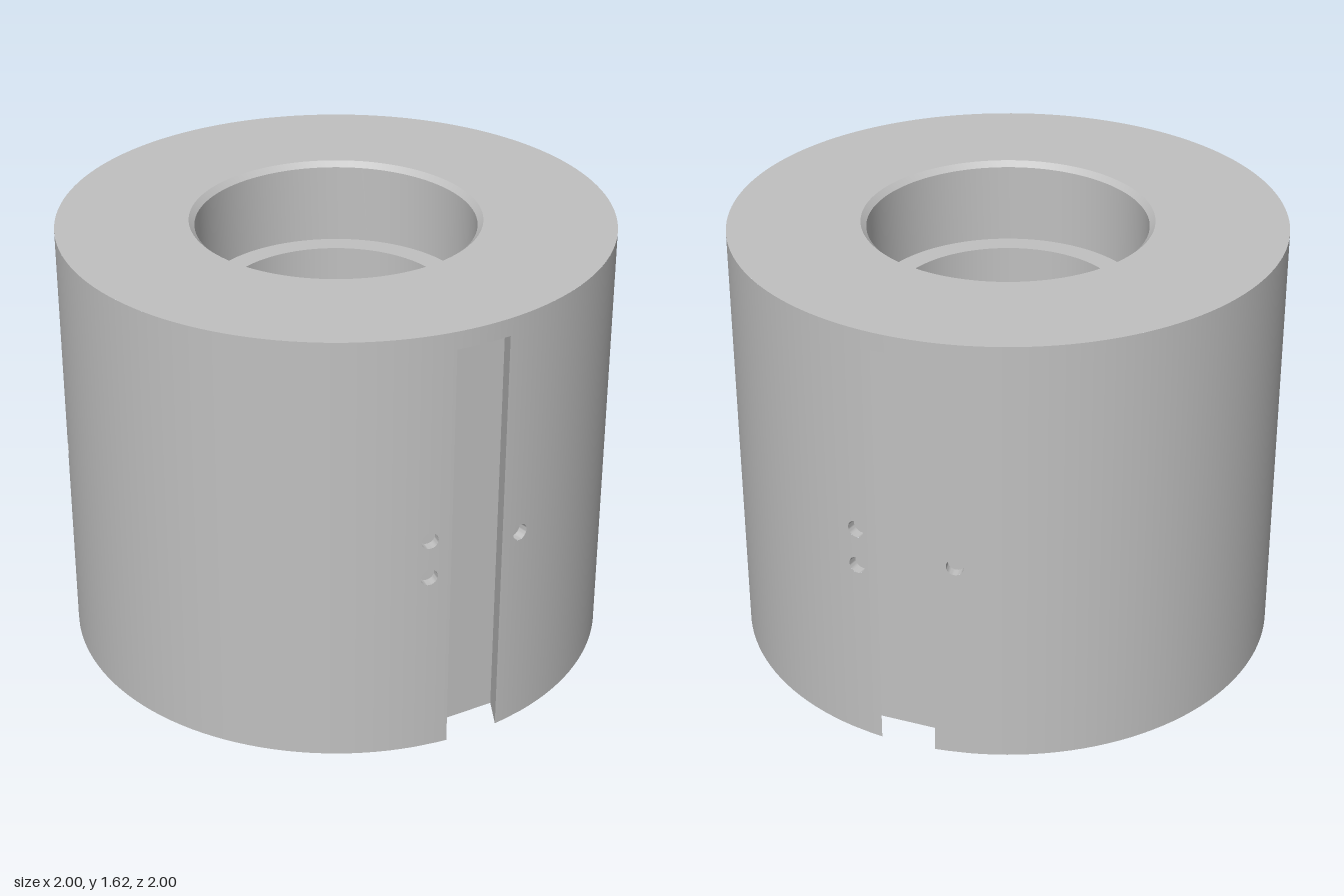
import * as THREE from 'three';
import { toCreasedNormals } from 'three/addons/utils/BufferGeometryUtils.js';

const H = 1.62, R = 1;                       // body height and outer radius
const BORE = 0.42, SLOT_TOP = 1.555;
const MOUTH = 0.102, FLOOR = 0.154, FLOOR_R = 0.882; // dovetail half widths, floor radius
const HOLE_R = 0.031, HOLE_DEPTH = 0.035;
const rad = THREE.MathUtils.degToRad;
const EDGE = Math.asin(MOUTH / R);           // half angle of the slot mouth
const SIDE = rad(10.45), PAD = rad(2.3);     // hole offset from slot centre, half patch

// Point in (x, z) at an angle measured from +z towards +x
const polar = (a, r = R) => new THREE.Vector2(r * Math.sin(a), r * Math.cos(a));

// Piece of the outer wall with round openings, wrapped on the cylinder
function wallPatch(a0, a1, y0, y1, holes = []) {
  const shape = new THREE.Shape([[a0, y0], [a1, y0], [a1, y1], [a0, y1]].map(p => new THREE.Vector2(...p)));
  for (const [a, y] of holes) {
    const path = new THREE.Path();
    path.absarc(a, y, HOLE_R, 0, Math.PI * 2, true);
    shape.holes.push(path);
  }
  const g = new THREE.ShapeGeometry(shape, 16);
  const p = g.attributes.position, n = g.attributes.normal;
  for (let i = 0; i < p.count; i++) {
    const a = p.getX(i);
    p.setXYZ(i, R * Math.sin(a), p.getY(i), R * Math.cos(a));
    n.setXYZ(i, Math.sin(a), 0, Math.cos(a));
  }
  return g;
}

const wallArc = (a0, a1, y0, y1, segs) =>
  new THREE.CylinderGeometry(R, R, y1 - y0, segs, 1, true, a0, a1 - a0).translate(0, (y0 + y1) / 2, 0);

// Two side walls and floor of a dovetail slot facing +z
function slotWalls() {
  const zm = R * Math.cos(EDGE);
  const pts = [[-MOUTH, zm], [-FLOOR, FLOOR_R], [FLOOR, FLOOR_R], [MOUTH, zm]];
  const v = [];
  for (let i = 0; i < 3; i++) {
    const [ax, az] = pts[i], [bx, bz] = pts[i + 1];
    v.push(ax, 0, az, bx, 0, bz, bx, SLOT_TOP, bz, ax, 0, az, bx, SLOT_TOP, bz, ax, SLOT_TOP, az);
  }
  const g = new THREE.BufferGeometry();
  g.setAttribute('position', new THREE.Float32BufferAttribute(v, 3));
  g.computeVertexNormals();
  return g;
}

// Slot outline corners in (x, z) for a slot turned to angle a
const slotFloor = a => [-FLOOR, FLOOR].map(t => new THREE.Vector2(
  FLOOR_R * Math.sin(a) + t * Math.cos(a), FLOOR_R * Math.cos(a) - t * Math.sin(a)));

const arcPoints = (a0, a1, n, r) =>
  Array.from({ length: n + 1 }, (_, i) => polar(a0 + (a1 - a0) * i / n, r));

// Downward facing flat face from an (x, z) outline
const faceDown = shape => new THREE.ShapeGeometry(shape).rotateX(Math.PI / 2);

export function createModel() {
  const model = new THREE.Group();
  model.name = 'slottedCollar';
  const steel = new THREE.MeshStandardMaterial({ color: 0xc0c0c0 });
  steel.name = 'steel grey';
  const add = (parent, name, geometry) => {
    const mesh = new THREE.Mesh(geometry, steel);
    mesh.name = name;
    parent.add(mesh);
    return mesh;
  };

  // Top face, chamfer, counterbore, shoulder and through bore
  const profile = [[R, H], [0.525, H], [0.505, H - 0.02], [0.505, 1.305], [BORE, 1.305], [BORE, 0]];
  const inner = new THREE.LatheGeometry(profile.map(p => new THREE.Vector2(...p)), 144);
  add(model, 'topAndBore', toCreasedNormals(inner, rad(30)));

  // Bottom face with three dovetail notches
  const outline = [];
  for (let i = 0; i < 3; i++) {
    const a = rad(60 + 120 * i);
    outline.push(polar(a - EDGE), ...slotFloor(a), ...arcPoints(a + EDGE, a + rad(120) - EDGE, 40).slice(0, -1));
  }
  const bottom = new THREE.Shape(outline);
  bottom.holes.push(new THREE.Path(arcPoints(0, Math.PI * 2, 144, BORE).slice(0, -1)));
  add(model, 'bottomFace', faceDown(bottom));

  // Each third: outer wall, slot, and pin holes beside it
  const holes = [[-SIDE, 0.702], [-SIDE, 0.847], [SIDE, 0.775]];
  for (let i = 0; i < 3; i++) {
    const third = new THREE.Group();
    third.name = 'slotSection' + (i + 1);
    third.rotation.y = rad(60 + 120 * i);
    model.add(third);

    add(third, 'outerWall', wallArc(SIDE + PAD, rad(120) - SIDE - PAD, 0, H, 36));
    add(third, 'wallAboveSlot', wallArc(-EDGE, EDGE, SLOT_TOP, H, 6));
    for (const s of [-1, 1]) {
      const near = s * (SIDE - PAD), far = s * (SIDE + PAD), edge = s * EDGE;
      add(third, 'slotLip', wallPatch(Math.min(edge, near), Math.max(edge, near), 0, H));
      add(third, 'drilledWall', wallPatch(Math.min(near, far), Math.max(near, far), 0, H,
        holes.filter(h => h[0] * s > 0)));
    }

    add(third, 'dovetailSlot', slotWalls());
    add(third, 'slotCeiling', faceDown(new THREE.Shape([...slotFloor(0), ...arcPoints(EDGE, -EDGE, 6)]))
      .translate(0, SLOT_TOP, 0));

    for (const [a, y] of holes) {
      const cup = [[HOLE_R, 0], [HOLE_R, -HOLE_DEPTH], [0, -HOLE_DEPTH]].map(p => new THREE.Vector2(...p));
      const g = toCreasedNormals(new THREE.LatheGeometry(cup, 32), rad(40));
      g.rotateX(Math.PI / 2).translate(0, 0, R - 0.0004).rotateY(a).translate(0, y, 0);
      add(third, 'pinHole', g);
    }
  }
  return model;
}
